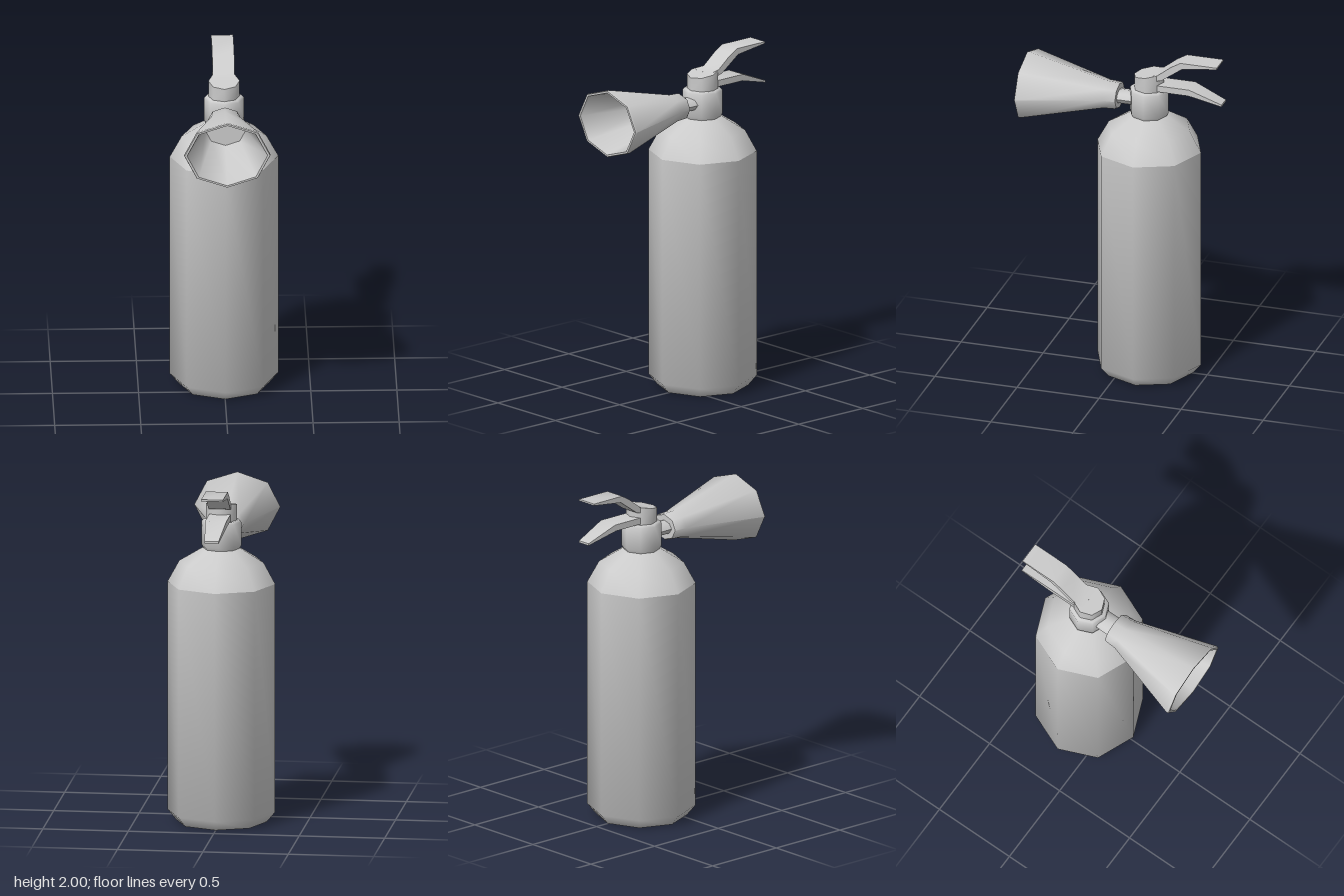
import * as THREE from 'three';
import { toCreasedNormals } from 'three/addons/utils/BufferGeometryUtils.js';

const SIDES = 8;
const AXIS_Z = -0.147; // centre line of the tank
const material = new THREE.MeshStandardMaterial({ color: 0xcccccc });

function addPart(group, name, geometry) {
  const mesh = new THREE.Mesh(toCreasedNormals(geometry, 1.0), material);
  mesh.name = name;
  group.add(mesh);
  return mesh;
}

// Eight-sided turned solid from [radius, height] pairs
function turned(profile) {
  return new THREE.LatheGeometry(profile.map(([r, y]) => new THREE.Vector2(r, y)), SIDES);
}

// Upright turned part on the tank axis
function upright(profile) {
  return turned(profile).translate(0, 0, AXIS_Z);
}

// Turned part lying along z, with an oval section
function forward(profile, squash) {
  return turned(profile).rotateX(Math.PI / 2).scale(1, squash, 1).translate(0, 1.713, 0);
}

// Lever from a side outline of [distance behind centre, height] pairs
function lever(outline, width) {
  const shape = new THREE.Shape(outline.map(([a, y]) => new THREE.Vector2(a, y)));
  return new THREE.ExtrudeGeometry(shape, { depth: width, bevelEnabled: false })
    .translate(0, 0, -width / 2)
    .rotateY(Math.PI / 2);
}

// Move each vertex by a rule
function reshape(geometry, rule) {
  const p = geometry.attributes.position;
  const v = new THREE.Vector3();
  for (let i = 0; i < p.count; i++) {
    rule(v.fromBufferAttribute(p, i));
    p.setXYZ(i, v.x, v.y, v.z);
  }
  return geometry;
}

export function createModel() {
  const model = new THREE.Group();
  model.name = 'fireExtinguisher';

  // Tank and its domed shoulder, kept apart for a sharp seam
  addPart(model, 'tank', upright([[0, 0], [0.265, 0], [0.315, 0.06], [0.315, 1.415]]));
  addPart(model, 'shoulder', upright([[0.315, 1.415], [0.247, 1.54], [0.115, 1.62], [0, 1.635]]));

  // Valve collar
  addPart(model, 'valveCollar', upright([
    [0.1, 1.61], [0.117, 1.64], [0.117, 1.778], [0.108, 1.79], [0, 1.79],
  ]));

  // Valve head with a top that rises towards the back
  const head = new THREE.CylinderGeometry(0.091, 0.091, 0.1, SIDES).translate(0, 1.83, AXIS_Z);
  addPart(model, 'valveHead', reshape(head, (v) => {
    if (v.y > 1.85) v.y = 1.867 - 0.2 * (v.z + 0.056);
  }));

  // Upper lever
  addPart(model, 'upperLever', lever([
    [0.15, 1.85], [0.24, 1.872], [0.367, 1.963], [0.578, 1.99],
    [0.578, 2], [0.357, 2], [0.298, 1.965], [0.215, 1.9], [0.15, 1.886],
  ], 0.128));

  // Lower handle, narrowing to its tip
  const handle = lever([
    [0.15, 1.797], [0.403, 1.797], [0.6, 1.745],
    [0.6, 1.757], [0.408, 1.835], [0.15, 1.835],
  ], 0.124);
  addPart(model, 'lowerHandle', reshape(handle, (v) => {
    if (v.z < -0.5) v.x *= 0.66;
  }));

  // Short pipe from the valve to the horn
  addPart(model, 'pipe', forward([[0, -0.1], [0.062, -0.1], [0.062, 0.06], [0, 0.06]], 0.65));

  // Discharge horn: outer skin, rolled rim, hollow inside and floor
  addPart(model, 'horn', forward([
    [0, 0.033], [0.094, 0.033], [0.1, 0.042], [0.104, 0.11], [0.252, 0.585],
    [0.248, 0.597], [0.234, 0.597], [0.23, 0.585], [0.117, 0.2], [0, 0.2],
  ], 0.8));

  return model;
}
